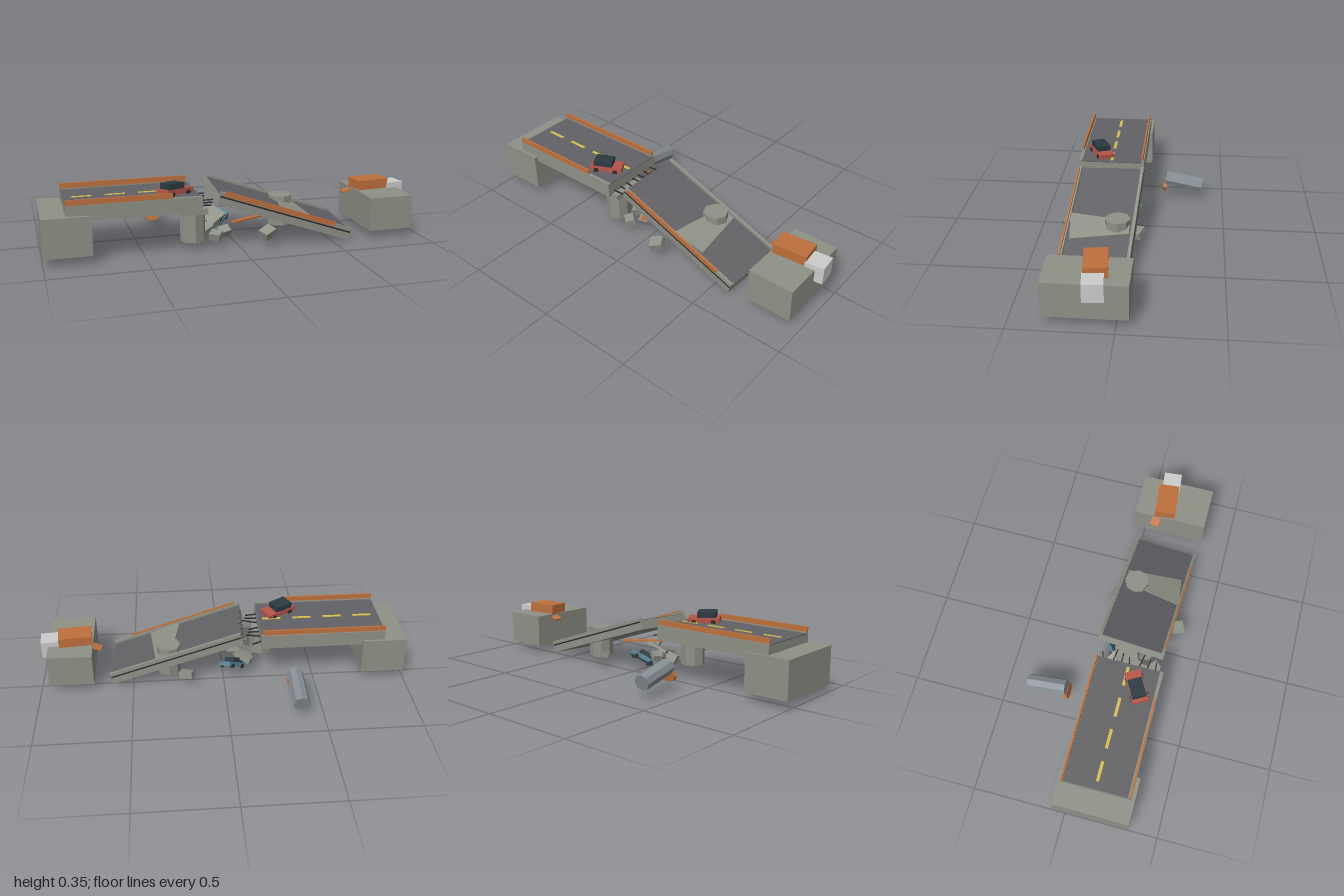
import * as THREE from 'three';

const mat = (color) => new THREE.MeshStandardMaterial({ color, flatShading: true });
const M = {
  concrete: mat(0x8e9186), asphalt: mat(0x626266), orange: mat(0xbf703d), red: mat(0xb85548),
  glass: mat(0x2c3a42), yellow: mat(0xd8bf4a), blue: mat(0x558294), white: mat(0xc4c5c8),
  steel: mat(0x858d93), dark: mat(0x2b2b2d),
};

function add(parent, name, geo, material, pos = [0, 0, 0], rot = [0, 0, 0]) {
  const m = new THREE.Mesh(geo, material);
  m.name = name;
  m.position.set(...pos);
  m.rotation.set(...rot);
  parent.add(m);
  return m;
}
const box = (parent, name, size, material, pos, rot) =>
  add(parent, name, new THREE.BoxGeometry(...size), material, pos, rot);

function group(parent, name, pos = [0, 0, 0], rot = [0, 0, 0, 'YZX']) {
  const g = new THREE.Group();
  g.name = name;
  g.position.set(...pos);
  g.rotation.set(...rot);
  parent.add(g);
  return g;
}

// Thin bar between two points
function bar(parent, name, a, b, w, h, material) {
  const A = new THREE.Vector3(...a), B = new THREE.Vector3(...b);
  const m = box(parent, name, [w, h, A.distanceTo(B)], material);
  m.position.copy(A).add(B).multiplyScalar(0.5);
  m.lookAt(B);
  return m;
}

// Low-poly car, nose along +x, origin at the middle of the body
function car(parent, name, paint, pos, rot) {
  const g = group(parent, name, pos, rot);
  box(g, 'carBody', [0.17, 0.027, 0.085], paint);
  box(g, 'carCabin', [0.1, 0.032, 0.075], M.glass, [-0.016, 0.028, 0]);
  for (const x of [-0.052, 0.052]) for (const z of [-0.042, 0.042])
    add(g, 'carWheel', new THREE.CylinderGeometry(0.014, 0.014, 0.012, 8), M.dark,
      [x, -0.01, z], [Math.PI / 2, 0, 0]);
  return g;
}

export function createModel() {
  const root = new THREE.Group();
  root.name = 'collapsedBridge';

  // Abutments
  box(root, 'rightAbutment', [0.24, 0.2, 0.405], M.concrete, [-0.88, 0.142, 0.142]);
  box(root, 'leftAbutment', [0.24, 0.18, 0.405], M.concrete, [0.83, 0.132, 0.142]);

  // Standing span with kerbs, lane dashes and guard rails
  const span = group(root, 'standingSpan');
  box(span, 'deckSlab', [0.675, 0.07, 0.37], M.concrete, [-0.5425, 0.25, 0.14]);
  box(span, 'roadSurface', [0.673, 0.008, 0.335], M.asphalt, [-0.5425, 0.286, 0.14]);
  for (const z of [-0.036, 0.316])
    box(span, 'kerb', [0.675, 0.01, 0.018], M.concrete, [-0.5425, 0.29, z]);
  for (let i = 0; i < 4; i++)
    box(span, 'laneDash', [0.103, 0.003, 0.016], M.yellow, [-0.787 + i * 0.17, 0.291, 0.14]);
  for (const [end, z] of [[-0.21, -0.034], [-0.355, 0.318]])
    box(span, 'guardRail', [end + 0.88, 0.032, 0.01], M.orange, [(end - 0.88) / 2, 0.306, z]);

  // Rebar sticking out of the broken edge
  for (let i = 0; i < 7; i++) {
    const z = 0.0 + i * 0.047, bend = ((i * 5) % 7 - 3) * 0.006;
    bar(span, 'rebar', [-0.21, 0.236, z], [-0.14 + bend, 0.236 + bend * 0.4, z + bend], 0.006, 0.006, M.dark);
  }

  // Piers
  const column = new THREE.CylinderGeometry(0.066, 0.066, 1, 8);
  add(root, 'standingPier', column, M.concrete, [-0.235, 0.122, 0.225]).scale.y = 0.16;
  box(root, 'pierCap', [0.13, 0.03, 0.2], M.concrete, [-0.235, 0.208, 0.2]);
  add(root, 'piercingPier', column, M.concrete, [0.3, 0.122, 0.055]).scale.y = 0.165;

  // Collapsed span
  const fallen = group(root, 'collapsedSpan', [0.252, 0.161, 0.14], [0.04, -0.04, -0.329, 'YZX']);
  box(fallen, 'deckSlab', [0.755, 0.05, 0.36], M.concrete, [0, -0.009, 0]);
  box(fallen, 'roadSurface', [0.753, 0.006, 0.326], M.asphalt, [0, 0.016, 0]);
  for (const s of [-1, 1]) {
    box(fallen, 'kerb', [0.755, 0.02, 0.016], M.concrete, [0, 0.022, s * 0.172]);
    box(fallen, 'edgeStripe', [0.75, 0.008, 0.002], M.dark, [0, 0.008, s * 0.18]);
  }
  box(fallen, 'guardRail', [0.63, 0.026, 0.009], M.orange, [-0.04, 0.028, 0.177]);

  // Slab pushed up around the pier
  const outline = new THREE.Shape([[0.02, 0.15], [-0.025, -0.17], [0.155, -0.145], [0.11, 0.155]]
    .map((p) => new THREE.Vector2(...p)));
  add(fallen, 'buckledSlab', new THREE.ExtrudeGeometry(outline, { depth: 0.02, bevelEnabled: false }),
    M.concrete, [0, 0.008, 0], [-Math.PI / 2, 0, 0]);

  // Cars
  car(root, 'redCar', M.red, [-0.322, 0.305, 0.208], [-0.06, 0.5, -0.04, 'YZX']);
  car(root, 'blueCar', M.blue, [-0.05, 0.078, 0.02], [0.35, 0.75, 0.5, 'YZX']).scale.setScalar(0.85);

  // Truck hanging over the far edge
  const truck = group(root, 'truck', [0.805, 0.247, 0.103], [0, 0.1, 0, 'YZX']);
  box(truck, 'truckCargo', [0.18, 0.056, 0.115], M.orange);
  box(truck, 'truckCab', [0.1, 0.094, 0.1], M.white, [0.135, -0.044, 0.012]);
  bar(truck, 'truckTailgate', [-0.088, -0.025, -0.047], [-0.13, -0.065, -0.05], 0.05, 0.008, M.orange);

  // Tank with its loose end plate
  const tank = group(root, 'fallenTank', [-0.375, 0.105, -0.268], [-0.21, 0.03, 0, 'YZX']);
  add(tank, 'tankBody', new THREE.CylinderGeometry(0.043, 0.043, 0.215, 8), M.steel,
    [0, 0, 0], [Math.PI / 2, 0, 0]);
  add(root, 'tankEndPlate', new THREE.CylinderGeometry(0.046, 0.046, 0.02, 8), M.orange,
    [-0.375, 0.08, -0.16], [Math.PI / 2 - 0.2, 0, 0]).scale.z = 0.75;

  // Rubble: size, position, turn
  const rubble = [
    [[0.07, 0.04, 0.06], [0.135, 0.082, 0.335], [0.3, 0.5, 0.2]],
    [[0.075, 0.035, 0.05], [0.205, 0.07, -0.045], [0.2, -0.4, -0.1]],
    [[0.06, 0.05, 0.05], [-0.14, 0.07, 0.16], [0.3, 0.4, 0.3]],
    [[0.05, 0.04, 0.06], [-0.12, 0.065, 0.26], [0.1, 0.9, 0.2]],
    [[0.07, 0.04, 0.05], [-0.1, 0.09, 0.09], [0.4, 0.2, -0.4]],
    [[0.06, 0.03, 0.05], [-0.13, 0.1, 0.04], [0.2, -0.5, 0.4]],
    [[0.1, 0.015, 0.12], [-0.1, 0.13, 0.1], [0.3, 0.5, 0.35]],
    [[0.06, 0.04, 0.05], [-0.06, 0.065, 0.2], [0.5, 0.2, 0.1]],
  ];
  for (const [size, pos, rot] of rubble) box(root, 'rubble', size, M.concrete, pos, rot);
  bar(root, 'looseGuardRail', [-0.03, 0.132, 0.27], [0.2, 0.12, 0.13], 0.03, 0.008, M.orange);

  return root;
}
